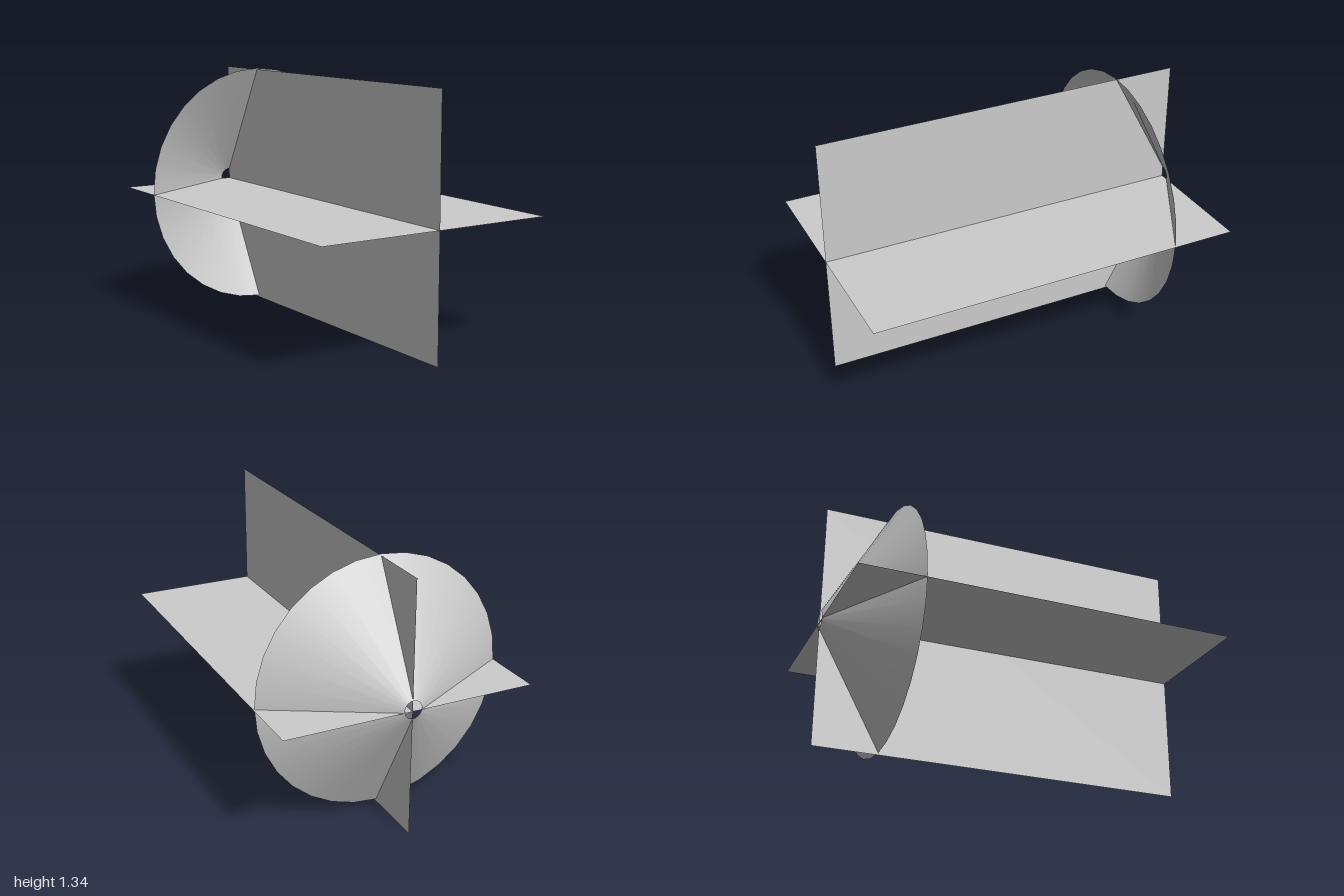
import * as THREE from 'three';

export function createModel() {
  const group = new THREE.Group();
  const material = new THREE.MeshStandardMaterial({ color: 0xcccccc, side: THREE.DoubleSide });
  const width = 1.332, length = 2, axisY = width / 2;

  function add(name, geometry, x, y, z) {
    const mesh = new THREE.Mesh(geometry, material);
    mesh.name = name;
    mesh.position.set(x, y, z);
    group.add(mesh);
  }

  // Two thin sheets crossing along the long axis
  add('horizontalSheet', new THREE.PlaneGeometry(width, length).rotateX(-Math.PI / 2), 0, axisY, 0);
  add('verticalSheet', new THREE.PlaneGeometry(length, width).rotateY(Math.PI / 2), 0, axisY, 0);

  // Hollow cone with a small hole at its tip, opening towards the front
  const rimZ = -0.66, tipZ = -1;
  const cone = new THREE.CylinderGeometry(0.664, 0.046, rimZ - tipZ, 32, 1, true).rotateX(Math.PI / 2);
  add('cone', cone, -0.003, 0.675, (rimZ + tipZ) / 2);

  return group;
}
